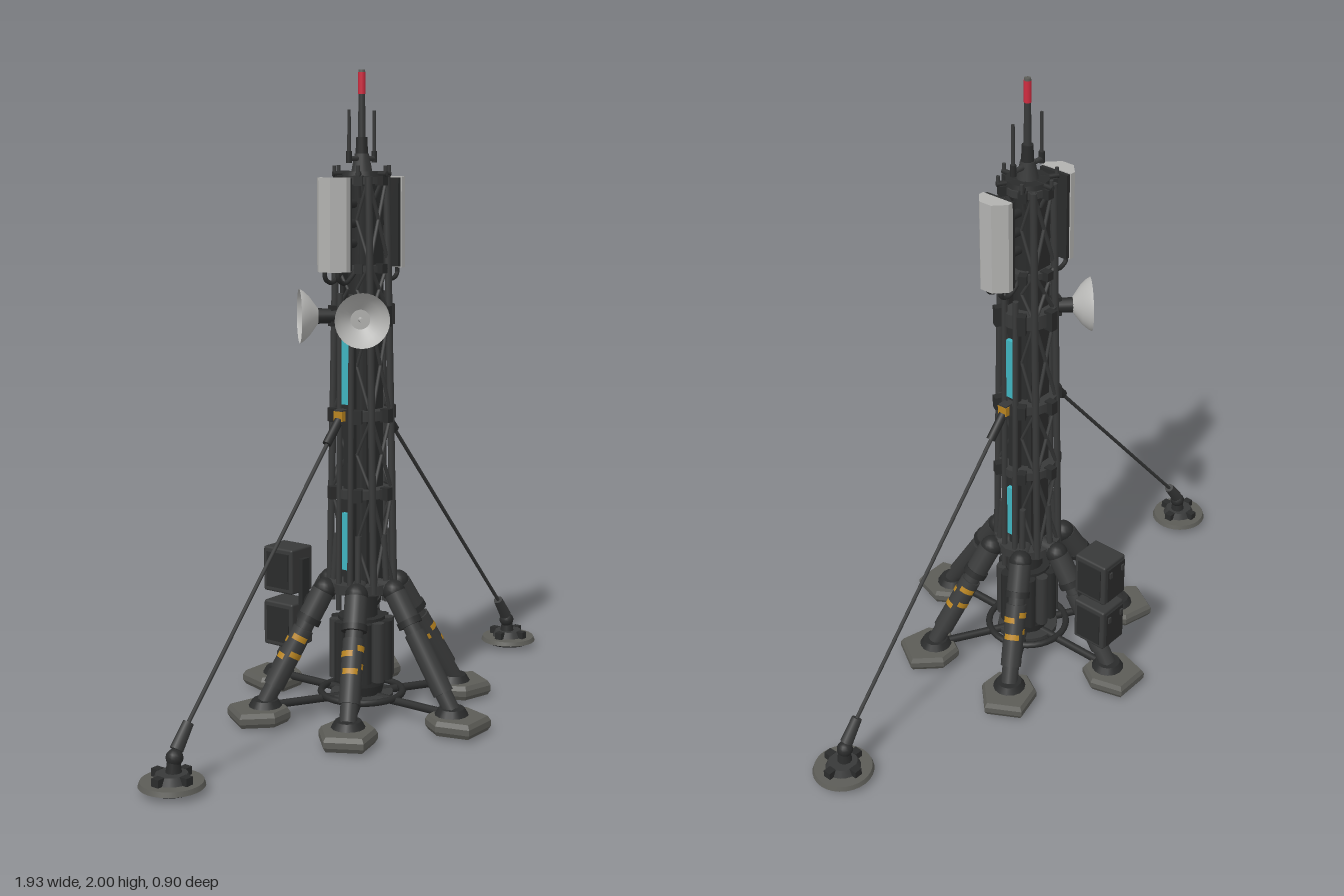
import * as THREE from 'three';
import { RoundedBoxGeometry } from 'three/addons/geometries/RoundedBoxGeometry.js';

const mat = (name, color, extra = {}) => Object.assign(new THREE.MeshStandardMaterial({ color, ...extra }), { name });
const V = (x, y, z) => new THREE.Vector3(x, y, z);
const UP = V(0, 1, 0);

export function createModel() {
  const model = new THREE.Group();
  model.name = 'communicationsTower';
  const steel = mat('dark steel', 0x383939);
  const black = mat('black steel', 0x2a2b2b);
  const pad = mat('foot grey', 0x5c5c57);
  const light = mat('antenna grey', 0xb2b2b0);
  const dishMat = mat('dish grey', 0xb8b8b6, { side: THREE.DoubleSide });
  const cyan = mat('cyan light', 0x3fb4c0);
  const amber = mat('amber marking', 0xb88420);
  const red = mat('beacon red', 0xd02c40);

  const add = (parent, name, geo, m, x = 0, y = 0, z = 0) => {
    const mesh = new THREE.Mesh(geo, m);
    mesh.name = name;
    mesh.position.set(x, y, z);
    parent.add(mesh);
    return mesh;
  };
  const group = (name, parent = model) => {
    const g = new THREE.Group();
    g.name = name;
    parent.add(g);
    return g;
  };
  const box = (p, name, w, h, d, m, x, y, z) => add(p, name, new THREE.BoxGeometry(w, h, d), m, x, y, z);
  const cyl = (p, name, r1, r0, h, n, m, x, y, z) => add(p, name, new THREE.CylinderGeometry(r1, r0, h, n), m, x, y, z);
  const rod = (p, name, a, b, r, m, r2 = r, n = 10) => {
    const dir = b.clone().sub(a);
    const mesh = add(p, name, new THREE.CylinderGeometry(r2, r, dir.length(), n), m);
    mesh.position.copy(a).add(b).multiplyScalar(0.5);
    mesh.quaternion.setFromUnitVectors(UP, dir.normalize());
    return mesh;
  };

  // Mast core, base drum and vertical equipment ribs
  const mast = group('mast');
  cyl(mast, 'core', 0.042, 0.052, 1.62, 12, black, 0, 0.88, 0);
  cyl(mast, 'baseDrum', 0.075, 0.06, 0.06, 16, black, 0, 0.07, 0);
  cyl(mast, 'basePlate', 0.1, 0.1, 0.018, 16, steel, 0, 0.05, 0);
  cyl(mast, 'lowerBarrel', 0.075, 0.075, 0.22, 16, black, 0, 0.2, 0);
  for (let i = 0; i < 12; i++) {
    const a = (i + 0.5) * Math.PI / 6;
    cyl(mast, 'barrelRib', 0.02, 0.02, 0.19, 8, i % 2 ? steel : black, Math.cos(a) * 0.083, 0.205, Math.sin(a) * 0.083);
  }

  // Lattice: tapered corner chords and crossed braces between collar levels
  const levels = [0.4, 0.71, 0.95, 1.26, 1.42, 1.68];
  const half = y => 0.053 - 0.006 * (y - 0.4);
  const deep = y => 0.086 - 0.02 * (y - 0.4);
  const corner = (sx, sz, y) => V(sx * half(y), y, sz * deep(y));
  for (let i = 0; i < levels.length - 1; i++) {
    const y0 = levels[i], y1 = levels[i + 1];
    for (const s of [-1, 1]) {
      for (const t of [-1, 1]) {
        rod(mast, 'chord', corner(s, t, y0), corner(s, t, y1), 0.011, steel);
        rod(mast, 'faceBrace', corner(-t, s, y0), corner(t, s, y1), 0.006, steel, 0.006, 6);
        rod(mast, 'sideBrace', corner(s, t, y0), corner(s, t * 0.25, (y0 + y1) / 2), 0.005, steel, 0.005, 6);
        rod(mast, 'sideBrace', corner(s, t * 0.25, (y0 + y1) / 2), corner(s, t, y1), 0.005, steel, 0.005, 6);
      }
      box(mast, 'facePanel', 0.085, y1 - y0, 0.012, black, 0, (y0 + y1) / 2, s * 0.045);
    }
  }

  // Side rails with light strips behind them
  for (const s of [-1, 1]) {
    for (const t of [-1, 1]) rod(mast, 'sideRail', V(s * 0.09, 0.34, t * 0.022), V(s * 0.08, 1.33, t * 0.022), 0.009, steel);
    box(mast, 'lightBacking', 0.02, 0.86, 0.036, black, s * 0.06, 0.83, 0);
    for (const [y, h] of [[0.56, 0.18], [1.09, 0.2]]) box(mast, 'lightStrip', 0.014, h, 0.026, cyan, s * 0.078, y, 0);
  }

  // Collars with clamps on their six corners
  for (const [y, r, h] of [[0.41, 0.118, 0.03], [0.71, 0.1, 0.028], [0.955, 0.1, 0.03], [1.26, 0.096, 0.045], [1.405, 0.078, 0.02], [1.67, 0.078, 0.022]]) {
    const c = group('collar');
    c.position.y = y;
    cyl(c, 'collarRing', r * 0.93, r * 0.93, h, 12, steel);
    for (let i = 0; i < 6; i++) {
      const a = i * Math.PI / 3 + Math.PI / 6;
      const clamp = box(c, 'clamp', 0.03, h * 1.4, 0.026, black, Math.cos(a) * r * 0.95, 0, Math.sin(a) * r * 0.95);
      clamp.rotation.y = -a;
    }
  }

  // Six legs; local +z points outwards
  const footShape = k => [[-0.06, 0.085], [0.06, 0.085], [0.09, -0.02], [0.05, -0.085], [-0.05, -0.085], [-0.09, -0.02]].map(([x, z]) => [x * k, z * k]);
  const footGeo = () => {
    const shape = new THREE.Shape(footShape(0.9).map(([x, z]) => new THREE.Vector2(x, -z)).reverse());
    const g = new THREE.ExtrudeGeometry(shape, { depth: 0.018, bevelEnabled: true, bevelThickness: 0.014, bevelSize: 0.008, bevelSegments: 1 });
    return g.rotateX(-Math.PI / 2).translate(0, 0.022, 0);
  };
  for (let i = 0; i < 6; i++) {
    const leg = group('leg');
    leg.rotation.y = i * Math.PI / 3;
    const axial = i % 3 === 0;
    const R = axial ? 0.365 : 0.345;
    add(leg, 'foot', footGeo(), pad, 0, 0, R);
    cyl(leg, 'sole', 0.055, 0.045, 0.012, 16, black, 0, 0.006, R);
    cyl(leg, 'ankle', 0.04, 0.055, 0.025, 14, black, 0, 0.062, R - 0.02);
    const top = V(0, 0.41, 0.125), foot = V(0, 0.065, R - 0.02);
    const at = t => top.clone().lerp(foot, t);
    rod(leg, 'shank', at(0), at(1), 0.027, steel, 0.027, 14);
    rod(leg, 'upperSleeve', at(0.03), at(0.27), 0.036, steel, 0.036, 14);
    rod(leg, 'sleeveRing', at(0.25), at(0.3), 0.04, black, 0.04, 14);
    rod(leg, 'lowerSleeve', at(0.36), at(0.86), 0.033, steel, 0.033, 14);
    rod(leg, 'rootArm', V(0, 0.41, 0.06), V(0, 0.41, 0.13), 0.028, steel);
    add(leg, 'hip', new THREE.SphereGeometry(0.036, 14, 10), black, 0, 0.405, 0.125);
    rod(leg, 'tieBar', V(0, 0.052, 0.06), V(0, 0.052, R - 0.03), 0.013, black);
    rod(leg, 'kicker', V(0, 0.37, 0.1), V(0, 0.58, 0.085), 0.01, steel);
    // Painted amber bands, broken into short patches
    if (!axial) {
      const frame = group('amberMarking', leg);
      frame.position.copy(at(0.53));
      frame.quaternion.setFromUnitVectors(UP, top.clone().sub(foot).normalize());
      for (let k = 0; k < 5; k++) {
        const patch = new THREE.CylinderGeometry(0.0345, 0.0345, 0.018, 6, 1, true, k * 1.9 - 0.8, 1.5);
        add(frame, 'amberPatch', patch, amber, 0, (k - 2) * 0.018, 0);
      }
    }
  }
  const ring = add(model, 'baseRing', new THREE.TorusGeometry(0.13, 0.011, 8, 36), black, 0, 0.06, 0);
  ring.rotation.x = Math.PI / 2;

  // Two equipment cabinets above the rear leg
  for (const [y, z] of [[0.235, -0.302], [0.415, -0.302]]) {
    const cab = group('cabinet');
    cab.position.set(0, y, z);
    add(cab, 'cabinetBody', new RoundedBoxGeometry(0.105, 0.148, 0.12, 2, 0.007), steel);
    box(cab, 'cabinetDoor', 0.085, 0.125, 0.008, black, 0, 0, -0.062);
    for (const s of [-1, 1]) {
      box(cab, 'sidePanel', 0.006, 0.115, 0.09, black, s * 0.053, 0, 0);
      box(cab, 'latch', 0.012, 0.02, 0.008, steel, s * 0.03, 0.04, -0.067);
    }
  }
  box(model, 'cabinetPost', 0.035, 0.25, 0.018, black, 0, 0.33, -0.236);

  // Guy lines and ground anchors
  for (const s of [-1, 1]) {
    const guy = group('guyLine');
    const P = (x, y) => V(s * x, y, 0);
    rod(guy, 'cable', P(0.8, 0.18), P(0.11, 0.95), 0.006, steel, 0.006, 8);
    rod(guy, 'upperSocket', P(0.175, 0.88), P(0.115, 0.945), 0.014, black);
    rod(guy, 'turnbuckle', P(0.85, 0.115), P(0.8, 0.18), 0.02, steel, 0.016);
    box(guy, 'lug', 0.03, 0.045, 0.03, steel, s * 0.105, 0.955, 0);
    box(guy, 'lugMarking', 0.016, 0.03, 0.034, amber, s * 0.113, 0.958, 0);
    cyl(guy, 'anchorDisc', 0.09, 0.095, 0.014, 28, pad, s * 0.87, 0.026, 0);
    cyl(guy, 'anchorSole', 0.085, 0.07, 0.012, 28, black, s * 0.87, 0.014, 0);
    cyl(guy, 'anchorHub', 0.045, 0.055, 0.022, 20, steel, s * 0.87, 0.044, 0);
    add(guy, 'anchorJoint', new THREE.SphereGeometry(0.025, 14, 10), black, s * 0.858, 0.095, 0);
    cyl(guy, 'anchorPost', 0.018, 0.024, 0.04, 12, black, s * 0.862, 0.07, 0);
    for (let k = 0; k < 4; k++) {
      const a = k * Math.PI / 2;
      box(guy, 'anchorRib', 0.026, 0.024, 0.026, black, s * 0.87 + Math.cos(a) * 0.055, 0.044, Math.sin(a) * 0.055);
    }
  }

  // Pair of sector panel antennas with brackets and looping cables
  for (const s of [-1, 1]) {
    const ant = group('panelAntenna');
    ant.rotation.y = s > 0 ? 0 : Math.PI;
    const outline = [[0.13, -0.056], [0.148, -0.056], [0.184, -0.022], [0.184, 0.022], [0.148, 0.056], [0.13, 0.056]];
    const shape = new THREE.Shape(outline.map(([x, z]) => new THREE.Vector2(x, z)));
    const geo = new THREE.ExtrudeGeometry(shape, { depth: 0.28, bevelEnabled: false }).rotateX(-Math.PI / 2);
    add(ant, 'panelCover', geo, light, 0, 1.4, 0);
    box(ant, 'panelBack', 0.014, 0.274, 0.104, black, 0.124, 1.54, 0);
    box(ant, 'mountRail', 0.016, 0.17, 0.035, steel, 0.106, 1.54, 0);
    for (const y of [1.48, 1.54, 1.6]) rod(ant, 'mountArm', V(0.04, y, 0), V(0.12, y, 0), 0.014, black);
    for (const z of [-0.025, 0.025]) {
      const path = new THREE.CatmullRomCurve3([V(0.15, 1.405, z), V(0.148, 1.378, z), V(0.118, 1.364, z), V(0.08, 1.385, z), V(0.055, 1.41, z)]);
      add(ant, 'loopCable', new THREE.TubeGeometry(path, 16, 0.007, 8), black);
    }
  }

  // Two dish antennas facing diagonally outwards
  for (const t of [-1, 1]) {
    const dish = group('dishAntenna');
    dish.position.set(-0.147, 1.26, t * 0.112);
    dish.quaternion.setFromUnitVectors(UP, V(-1, 0, t).normalize());
    const profile = [[0.016, -0.05], [0.035, -0.036], [0.06, -0.018], [0.078, 0.002], [0.083, 0.012]];
    add(dish, 'reflector', new THREE.LatheGeometry(profile.map(p => new THREE.Vector2(...p)), 32), dishMat);
    cyl(dish, 'dishFace', 0.03, 0.016, 0.012, 20, light, 0, -0.038, 0);
    cyl(dish, 'feed', 0.006, 0.008, 0.035, 10, light, 0, -0.02, 0);
    cyl(dish, 'dishMount', 0.024, 0.02, 0.09, 14, black, 0, -0.088, 0);
  }

  // Mast head: spreader, whip antennas, spire and beacon
  const head = group('mastHead');
  cyl(head, 'headPlate', 0.066, 0.07, 0.014, 12, black, 0, 1.69, 0);
  for (let i = 0; i < 6; i++) {
    const a = i * Math.PI / 3 + Math.PI / 6, c = Math.cos(a), d = Math.sin(a);
    rod(head, 'headArm', V(0, 1.69, 0), V(c * 0.095, 1.69, d * 0.095), 0.008, black);
    cyl(head, 'headPin', 0.006, 0.006, 0.03, 8, steel, c * 0.09, 1.7, d * 0.09);
    rod(head, 'headStay', V(c * 0.05, 1.62, d * 0.05), V(c * 0.085, 1.687, d * 0.085), 0.006, steel);
  }
  rod(head, 'spreader', V(-0.066, 1.735, 0), V(0.066, 1.735, 0), 0.008, steel);
  for (const s of [-1, 1]) {
    cyl(head, 'whipBase', 0.009, 0.009, 0.035, 10, black, s * 0.063, 1.74, 0);
    cyl(head, 'whip', 0.005, 0.006, 0.15, 8, steel, s * 0.063, 1.805, 0);
  }
  cyl(head, 'spireBase', 0.022, 0.034, 0.06, 14, steel, 0, 1.72, 0);
  cyl(head, 'spireLower', 0.017, 0.02, 0.06, 14, black, 0, 1.77, 0);
  cyl(head, 'spire', 0.01, 0.012, 0.14, 12, steel, 0, 1.86, 0);
  cyl(head, 'beacon', 0.011, 0.011, 0.065, 12, red, 0, 1.96, 0);
  cyl(head, 'beaconCap', 0.01, 0.011, 0.01, 12, pad, 0, 1.995, 0);
  return model;
}
